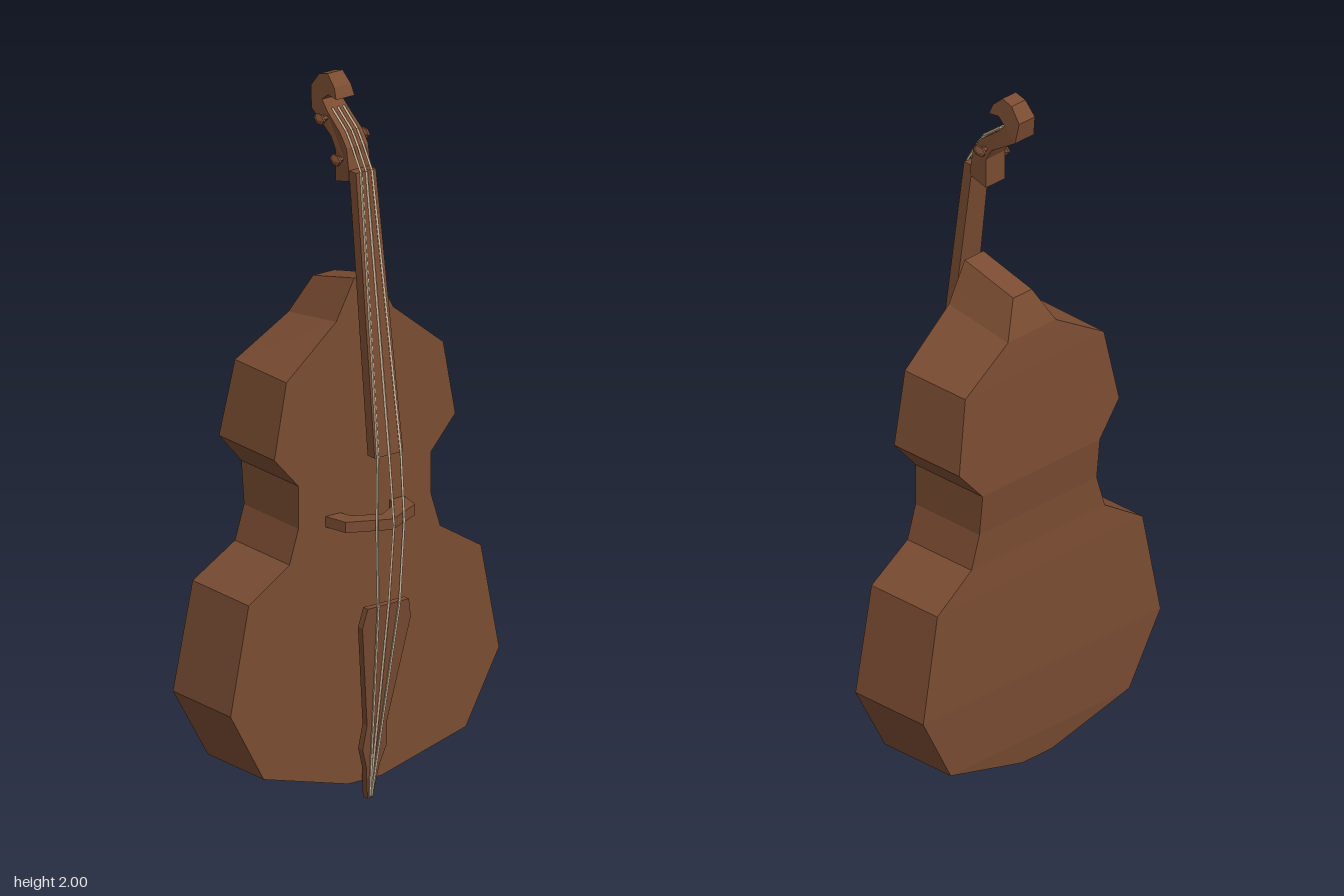
import * as THREE from 'three';

const wood = new THREE.MeshStandardMaterial({ color: 0x7a4c32 });
wood.name = 'wood';
const gut = new THREE.MeshStandardMaterial({ color: 0xcdb79a });
gut.name = 'string gut';

// Adds a named mesh with faceted normals
function add(group, name, geometry, material = wood) {
  const flat = geometry.index ? geometry.toNonIndexed() : geometry;
  flat.computeVertexNormals();
  const mesh = new THREE.Mesh(flat, material);
  mesh.name = name;
  group.add(mesh);
  return mesh;
}

const shapeOf = (pts) => new THREE.Shape(pts.map(([x, y]) => new THREE.Vector2(x, y)));
const extrude = (pts, depth) => new THREE.ExtrudeGeometry(shapeOf(pts), { depth, bevelEnabled: false });
const mirrored = (half) => [...half, ...half.map(([x, y]) => [-x, y]).reverse()];

// Moves every vertex by a rule
function bend(geometry, rule) {
  const p = geometry.attributes.position;
  const v = new THREE.Vector3();
  for (let i = 0; i < p.count; i++) {
    v.fromBufferAttribute(p, i);
    rule(v);
    p.setXYZ(i, v.x, v.y, v.z);
  }
  return geometry;
}

// Straight rod between two points
function rod(a, b, radius) {
  const d = b.clone().sub(a);
  const g = new THREE.CylinderGeometry(radius, radius, d.length(), 4);
  g.applyQuaternion(new THREE.Quaternion().setFromUnitVectors(new THREE.Vector3(0, 1, 0), d.normalize()));
  const mid = a.clone().add(b).multiplyScalar(0.5);
  return g.translate(mid.x, mid.y, mid.z);
}

// Sound box: rows of [half width, y, back z, back y, back half width]
function bodyGeometry() {
  const frontZ = 0.06;
  const rows = [
    [0.055, 0.045, -0.175], [0.335, 0.12, -0.185], [0.445, 0.32, -0.192],
    [0.385, 0.62, -0.185], [0.25, 0.705, -0.178], [0.22, 0.8, -0.178],
    [0.22, 0.92, -0.19], [0.3, 1.01, -0.182], [0.26, 1.22, -0.165],
    [0.095, 1.355, -0.155, 1.32, 0.09], [0.035, 1.465, -0.12, 1.42, 0.035],
  ].map(([x, y, bz, by = y, bx = x]) => ({
    fl: [-x, y, frontZ], fr: [x, y, frontZ], bl: [-bx, by, bz], br: [bx, by, bz],
  }));
  const pos = [];
  const quad = (a, b, c, d) => pos.push(...a, ...b, ...c, ...a, ...c, ...d);
  for (let i = 0; i < rows.length - 1; i++) {
    const r = rows[i], s = rows[i + 1];
    quad(r.fl, r.fr, s.fr, s.fl);
    quad(r.br, r.bl, s.bl, s.br);
    quad(r.fr, r.br, s.br, s.fr);
    quad(r.bl, r.fl, s.fl, s.bl);
  }
  const lo = rows[0], hi = rows[rows.length - 1];
  quad(lo.fl, lo.bl, lo.br, lo.fr);
  quad(hi.fl, hi.fr, hi.br, hi.bl);
  const g = new THREE.BufferGeometry();
  g.setAttribute('position', new THREE.Float32BufferAttribute(pos, 3));
  return g;
}

export function createModel() {
  const model = new THREE.Group();
  model.name = 'uprightBass';
  add(model, 'soundBox', bodyGeometry());

  // Neck with fingerboard, leaning back towards the top
  const neck = extrude(mirrored([[0.047, 0.99], [0.033, 1.76]]), 0.031);
  add(model, 'neck', bend(neck, (v) => { v.z += 0.134 - (v.y - 0.99) * 0.13; }));

  // Tailpiece, running down under the lower edge
  const tail = extrude(mirrored([[0.008, 0], [0.022, 0.095], [0.04, 0.15], [0.033, 0.22],
    [0.08, 0.515], [0.068, 0.57]]), 0.02);
  add(model, 'tailpiece', bend(tail, (v) => { v.z += 0.062 + v.y * 0.142; }));

  // Bridge arch standing on the front
  const bridge = extrude([[0.13, 0.06], [0.115, 0.128], [0, 0.183], [-0.115, 0.128], [-0.13, 0.06],
    [-0.082, 0.06], [-0.072, 0.095], [0, 0.135], [0.072, 0.095], [0.082, 0.06]], 0.03);
  add(model, 'bridge', bridge.rotateX(Math.PI / 2).translate(0, 0.815, 0));

  // Pegbox and scroll: side profile as [z, y], narrowing to the top
  const head = extrude([[0.037, 1.73], [-0.02, 1.715], [-0.02, 1.8], [-0.04, 1.835], [-0.127, 1.89],
    [-0.137, 1.95], [-0.105, 1.99], [-0.07, 2], [-0.037, 1.97], [-0.025, 1.94], [-0.06, 1.945],
    [-0.085, 1.925], [-0.06, 1.9], [0, 1.855], [0.027, 1.82], [0.037, 1.76]], 2);
  head.translate(0, 0, -1).rotateY(-Math.PI / 2);
  add(model, 'scroll', bend(head, (v) => {
    v.x *= 0.036 - 0.011 * THREE.MathUtils.clamp((v.y - 1.88) / 0.12, 0, 1);
  }));

  // Tuning pegs: [side, y, z]
  for (const [side, y, z] of [[-1, 1.88, -0.065], [-1, 1.785, 0.005], [1, 1.832, -0.015]]) {
    const profile = [[0, 0], [0.007, 0], [0.007, 0.022], [0.016, 0.028], [0.016, 0.034], [0, 0.042]];
    const peg = new THREE.LatheGeometry(profile.map(([r, h]) => new THREE.Vector2(r, h)), 6);
    peg.rotateZ(-side * Math.PI / 2).scale(1, 1, 1.4).translate(side * 0.024, y, z);
    add(model, 'tuningPeg', peg);
  }

  // Three strings from pegbox over the bridge to the tail
  for (const s of [-1, 0, 1]) {
    const string = new THREE.Group();
    string.name = 'string';
    const lift = s ? 0.172 : 0.188;
    const path = [[0.018, 1.905, -0.057], [0.018, 1.858, 0.004], [0.018, 1.82, 0.031], [0.018, 1.76, 0.067],
      [0.038, 0.99, 0.167], [0.045, 0.8, lift], [0.035, 0.57, 0.165], [0.003, 0.006, 0.084]]
      .map(([x, y, z]) => new THREE.Vector3(s * x, y, z));
    for (let i = 0; i < path.length - 1; i++) add(string, 'stringSpan', rod(path[i], path[i + 1], 0.004), gut);
    model.add(string);
  }
  return model;
}
